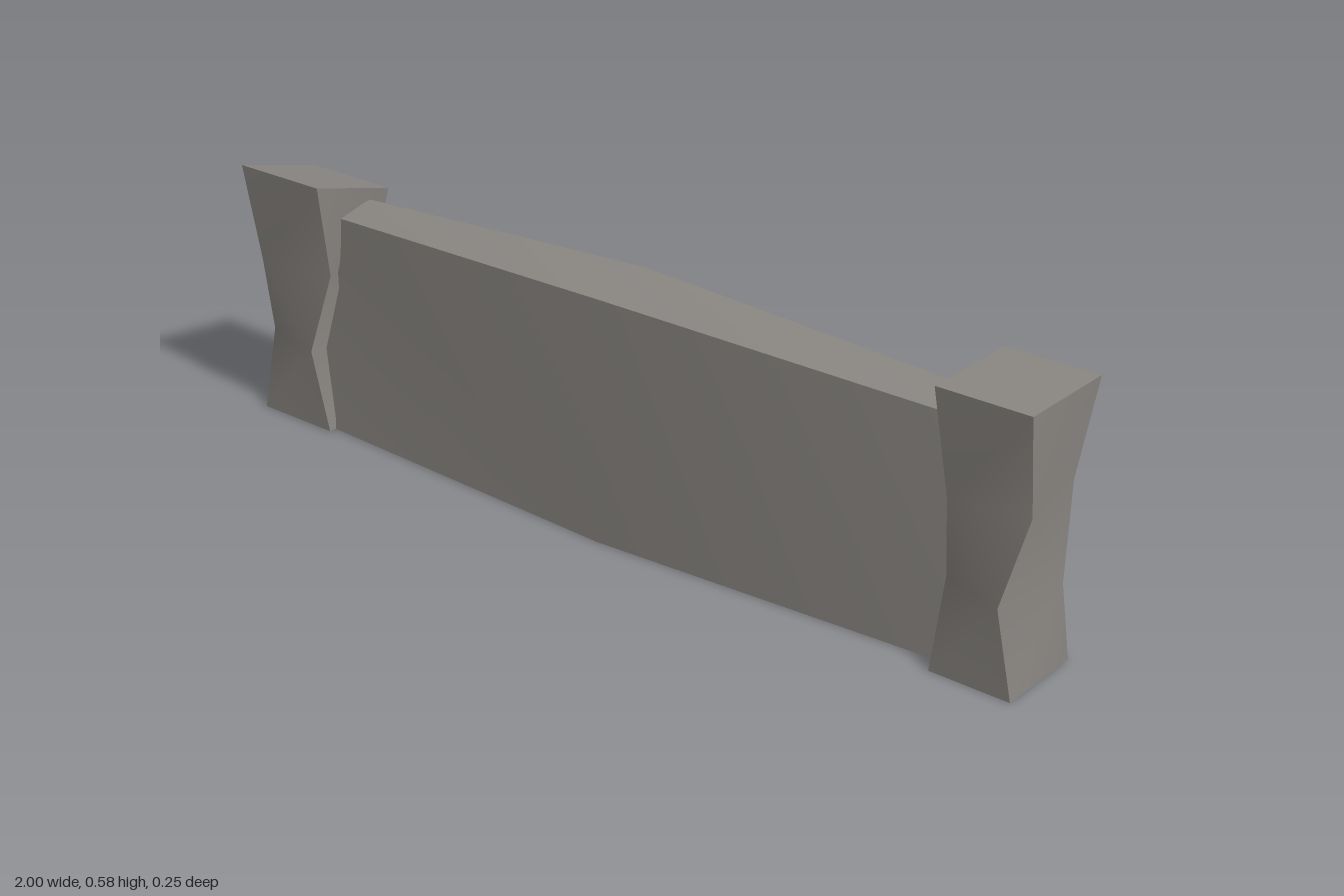
import * as THREE from 'three';
import { mergeGeometries } from 'three/addons/utils/BufferGeometryUtils.js';

const stone = new THREE.MeshStandardMaterial({ color: 0x8a8682, side: THREE.DoubleSide });
stone.name = 'greyStone';

function surface(points, index) {
  const g = new THREE.BufferGeometry();
  g.setAttribute('position', new THREE.Float32BufferAttribute(points.flat(), 3));
  g.setIndex(index);
  g.computeVertexNormals();
  return g;
}

// One side of a loft, smooth along its length;
// flipped lists the sections whose quads split on the other diagonal
function strip(rings, i, flipped = []) {
  const j = (i + 1) % 4;
  const points = rings.flatMap(r => [r[i], r[j]]);
  const index = [];
  for (let k = 0; k < rings.length - 1; k++) {
    const a = 2 * k, b = a + 1, c = a + 2, d = a + 3;
    if (flipped.includes(k)) index.push(a, b, c, b, d, c);
    else index.push(a, b, d, a, d, c);
  }
  return surface(points, index);
}

function part(geometries, name) {
  const mesh = new THREE.Mesh(mergeGeometries(geometries), stone);
  mesh.name = name;
  return mesh;
}

// Post whose corners are chipped in, alternating between x and z
function post(cx, cz, hw, hd, backTop, name) {
  const corners = [[1, 1], [1, -1], [-1, -1], [-1, 1]];
  // height, then half-size factors for the two alternating directions
  const levels = [[0, 0.88, 0.88], [0.18, 0.49, 0.89], [0.365, 0.92, 0.67], [0.578, 1, 1]];
  const rings = levels.map(([y, p, q]) => corners.map(([sx, sz], i) => {
    const [fx, fz] = i % 2 ? [q, p] : [p, q];
    return [cx + sx * hw * fx, sz < 0 ? Math.min(y, backTop) : y, cz + sz * hd * fz];
  }));
  const sides = [0, 1, 2, 3].map(i => strip(rings, i, [1]));
  const bottom = surface(rings[0], [0, 2, 1, 0, 3, 2]);
  const top = surface(rings[3], [0, 1, 2, 0, 2, 3]);
  return part([...sides, bottom, top], name);
}

export function createModel() {
  const model = new THREE.Group();
  model.name = 'stoneWall';

  // Wall shell, open below, thicker and taller in the middle:
  // x, front bottom z, back bottom z, back top y, front top z, front top y
  const sections = [
    [-0.86, 0.087, -0.03, 0.505, 0.045, 0.485],
    [0.015, 0.123, -0.127, 0.55, 0.117, 0.53],
    [0.86, 0.067, -0.032, 0.508, 0.04, 0.488],
  ];
  const rings = sections.map(([x, fb, bb, ty, ft, fy]) =>
    [[x, 0, fb], [x, 0, bb], [x, ty, -0.035], [x, fy, ft]]);
  // back, top and front
  model.add(part([1, 2, 3].map(i => strip(rings, i)), 'wallShell'));

  // End posts; the right one has a top that slopes down to the back
  model.add(post(0.9, 0.012, 0.1, 0.1145, 0.578, 'leftPost'));
  model.add(post(-0.8825, 0.015, 0.1175, 0.105, 0.522, 'rightPost'));
  return model;
}
